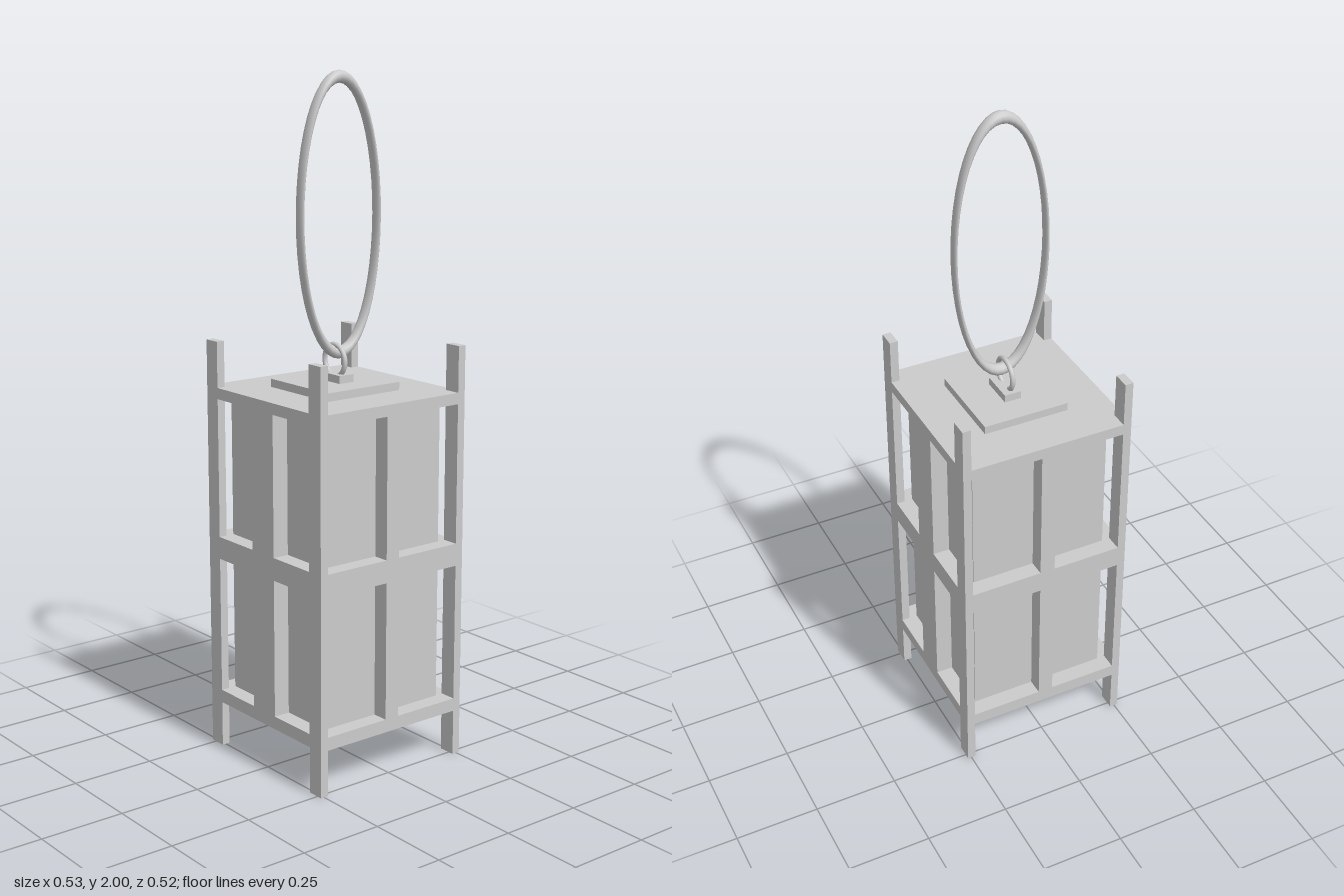
import * as THREE from 'three';

export function createModel() {
  const lantern = new THREE.Group();
  lantern.name = 'lantern';
  const grey = new THREE.MeshStandardMaterial({ color: 0xcccccc });

  const add = (name, geometry, x, y, z, parent = lantern) => {
    const mesh = new THREE.Mesh(geometry, grey);
    mesh.name = name;
    mesh.position.set(x, y, z);
    parent.add(mesh);
    return mesh;
  };
  // Box given by its width, depth and vertical extent
  const box = (name, w, d, y0, y1, x = 0, z = 0) =>
    add(name, new THREE.BoxGeometry(w, y1 - y0, d), x, (y0 + y1) / 2, z);

  const X = 0.267, Z = 0.261;          // outer half sizes
  const coreX = 0.217, coreZ = 0.211;  // recessed pane half sizes
  const bottom = 0.137, top = 1.1;

  // Inner body whose faces are the recessed panes
  box('panes', coreX * 2, coreZ * 2, bottom + 0.01, top - 0.01);

  // Horizontal frame slabs: floor, middle rail and roof
  box('floor', X * 2, Z * 2, bottom, 0.176);
  box('middleRail', X * 2, Z * 2, 0.586, 0.653);
  box('roof', X * 2, Z * 2, 1.067, top);

  // Corner posts that run past the body as feet and finials
  for (const sx of [-1, 1]) for (const sz of [-1, 1])
    box('cornerPost', 0.052, 0.025, 0, 1.235, sx * (X - 0.026), sz * (Z - 0.0125));

  // Central mullions on each face
  for (const s of [-1, 1]) {
    box('faceMullion', 0.102, Z - coreZ, bottom, top - 0.01, 0, s * (Z + coreZ) / 2);
    box('sideMullion', X - coreX, 0.046, bottom, top - 0.01, s * (X + coreX) / 2, 0.003);
  }

  // Stepped mount on the roof
  box('capPlate', 0.266, 0.26, top, 1.124);
  box('ringMount', 0.103, 0.051, 1.124, 1.147, 0, -0.002);

  // Small fixed ring
  add('smallRing', new THREE.TorusGeometry(0.046, 0.0075, 12, 32), 0, 1.183, 0);

  // Tall oval handle, a torus squeezed along z
  const handle = add('handle', new THREE.TorusGeometry(0.389, 0.018, 12, 48).rotateY(Math.PI / 2),
    0, 1.593, -0.015);
  handle.scale.z = 0.355;

  return lantern;
}
